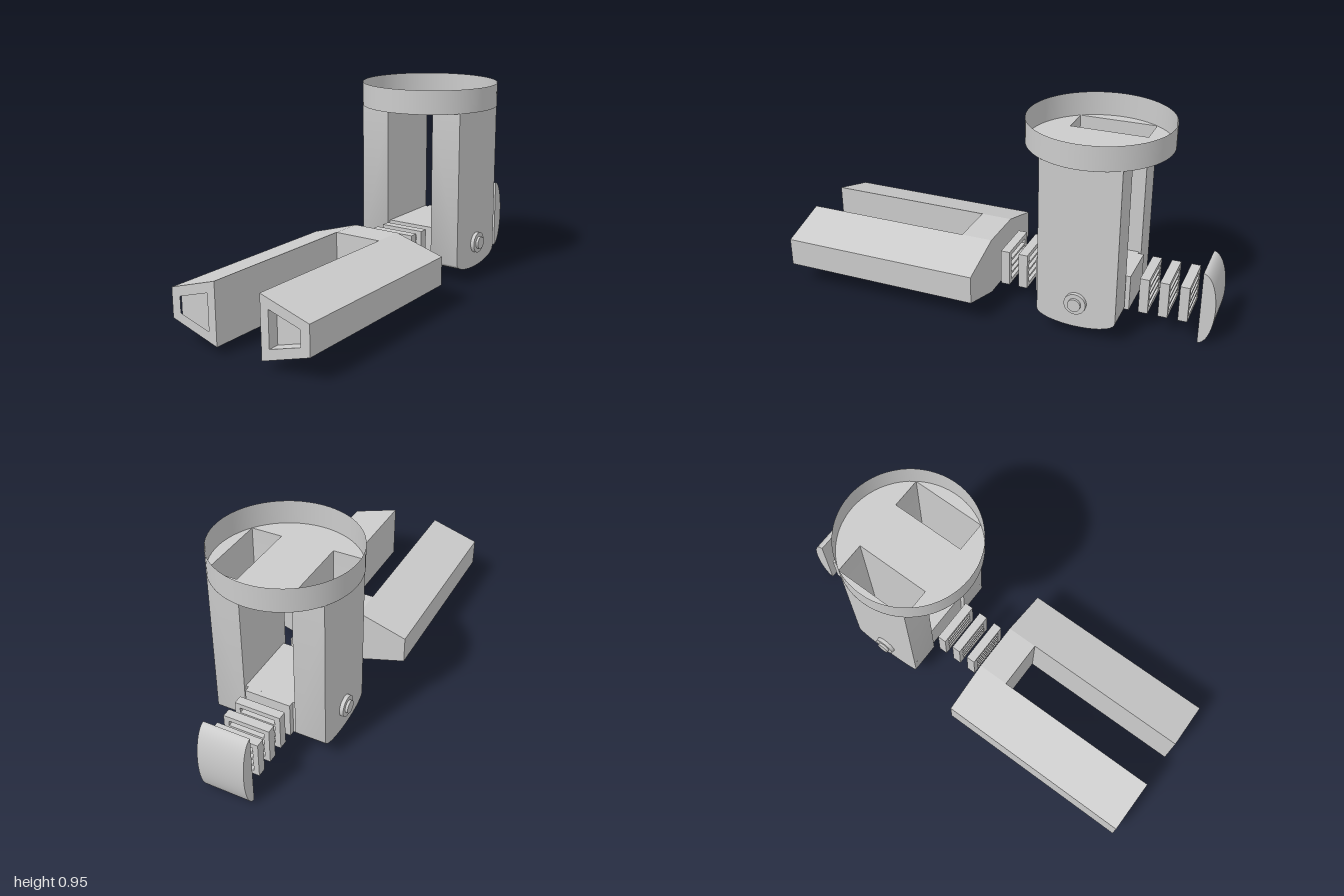
import * as THREE from 'three';
import { toCreasedNormals } from 'three/addons/utils/BufferGeometryUtils.js';

const CZ = -0.418;   // z of the cup axis
const CY = 0.178;    // height of the main axis
const grey = new THREE.MeshStandardMaterial({ color: 0xcccccc });
const shell = new THREE.MeshStandardMaterial({ color: 0xcccccc, side: THREE.DoubleSide });

const poly = (pts) => pts.map(([x, y]) => new THREE.Vector2(x, y));

// Prism along z from z0 to z1 with optional holes
function prism(outline, z0, z1, holes = []) {
  const shape = new THREE.Shape(poly(outline));
  holes.forEach((h) => shape.holes.push(new THREE.Path(poly(h))));
  const geo = new THREE.ExtrudeGeometry(shape, { depth: z1 - z0, bevelEnabled: false });
  return geo.translate(0, 0, z0);
}

function add(parent, name, geo, material = grey) {
  const mesh = new THREE.Mesh(geo, material);
  mesh.name = name;
  parent.add(mesh);
  return mesh;
}

const rect = (x0, y0, x1, y1) => [[x0, y0], [x1, y0], [x1, y1], [x0, y1]];

// Fork: tapered bridge with two prongs that have recessed ends
function createFork() {
  const fork = new THREE.Group();
  fork.name = 'fork';
  const bridge = [[-0.355, 0.11], [-0.117, 0.037], [0.117, 0.037], [0.355, 0.11],
    [0.355, 0.243], [0.117, 0.315], [-0.117, 0.315], [-0.355, 0.243]];
  add(fork, 'forkBridge', prism(bridge, 0.05, 0.2));
  for (const s of [1, -1]) {
    const side = s > 0 ? 'left' : 'right';
    const flip = (pts) => pts.map(([x, y]) => [x * s, y]);
    const section = flip([[0.117, 0.037], [0.355, 0.11], [0.355, 0.243], [0.117, 0.315]]);
    const recess = flip([[0.157, 0.095], [0.31, 0.14], [0.31, 0.212], [0.157, 0.258]]);
    add(fork, side + 'Prong', prism(section, 0.2, 0.95));
    add(fork, side + 'ProngRim', prism(section, 0.95, 1, [recess]));
  }
  return fork;
}

// Row of slotted plates on both sides of the central block
function createPlates() {
  const row = new THREE.Group();
  row.name = 'plates';
  const slots = [0, 1, 2, 3].map((i) => rect(-0.085, 0.113 + i * 0.035, 0.085, 0.138 + i * 0.035));
  for (const z of [0.005, -0.083, -0.17, -0.66, -0.75, -0.84]) {
    add(row, 'plate', prism(rect(-0.11, 0.093, 0.11, 0.265), z - 0.043, z, slots));
  }
  add(row, 'centralBlock', prism(rect(-0.124, 0.093, 0.124, 0.265), -0.59, -0.256));
  add(row, 'rearPlate', prism(rect(-0.11, 0.093, 0.11, 0.265), -0.617, -0.59));
  return row;
}

// Hollow leg, open at the top, with a rounded foot
function createLeg(s) {
  const leg = new THREE.Group();
  leg.name = s > 0 ? 'leftLeg' : 'rightLeg';
  const half = 0.182, top = 0.838, x0 = 0.125 * s, x1 = 0.272 * s;
  const profile = [[-half, top]];
  for (let i = 0; i <= 20; i++) {
    const a = Math.PI * (1 + i / 20);
    profile.push([Math.cos(a) * half, 0.11 + Math.sin(a) * 0.055]);
  }
  profile.push([half, top]);

  const verts = [], index = [];
  profile.forEach(([z, y], i) => {
    verts.push(x0, y, z + CZ, x1, y, z + CZ);
    if (i === 0) return;
    const b = 2 * i, a = b - 2;
    if (s > 0) index.push(a, b, a + 1, a + 1, b, b + 1);
    else index.push(a, a + 1, b, a + 1, b + 1, b);
  });
  // Wind the band so that its faces point outwards
  for (let i = 0; i < index.length; i += 3) {
    [index[i + 1], index[i + 2]] = [index[i + 2], index[i + 1]];
  }
  const band = new THREE.BufferGeometry();
  band.setAttribute('position', new THREE.Float32BufferAttribute(verts, 3));
  band.setIndex(index);
  band.computeVertexNormals();
  add(leg, 'legWall', toCreasedNormals(band, 0.7), shell);

  const cheek = new THREE.Shape(poly(profile));
  for (const [x, dir] of [[x0, -s], [x1, s]]) {
    const geo = new THREE.ShapeGeometry(cheek).rotateY(dir * Math.PI / 2).translate(x, 0, CZ);
    add(leg, 'legCheek', geo, shell);
  }

  // Pivot pin with a smaller raised head
  const pin = (r, a, b) => new THREE.CylinderGeometry(r, r, b - a, 32)
    .rotateZ(Math.PI / 2).translate(s * (a + b) / 2, CY, CZ);
  add(leg, 'pivotPin', pin(0.05, 0.125, 0.29));
  add(leg, 'pinHead', pin(0.03, 0.29, 0.302));
  return leg;
}

// Open cup: thin rim on a floor with an opening above each leg
function createCup() {
  const cup = new THREE.Group();
  cup.name = 'cup';
  const R = 0.327;
  const rim = new THREE.CylinderGeometry(R, R, 0.112, 64, 1, true).translate(0, 0.894, CZ);
  add(cup, 'cupRim', rim, shell);
  const floor = new THREE.Shape().absarc(0, 0, R, 0, Math.PI * 2);
  for (const s of [1, -1]) {
    floor.holes.push(new THREE.Path(poly(rect(0.125 * s, -0.181, 0.2715 * s, 0.181))));
  }
  const geo = new THREE.ShapeGeometry(floor, 64).rotateX(-Math.PI / 2).translate(0, 0.838, CZ);
  add(cup, 'cupFloor', geo, shell);
  return cup;
}

// Curved end cap at the back
function createEndCap() {
  const pts = [];
  for (let i = 0; i <= 32; i++) {
    const a = -Math.PI / 2 + Math.PI * i / 32;
    pts.push([Math.cos(a) * 0.066, Math.sin(a) * 0.175]);
  }
  const geo = toCreasedNormals(prism(pts, -0.11, 0.11), 0.6);
  return geo.rotateY(Math.PI / 2).translate(0, 0.176, -0.934);
}

export function createModel() {
  const model = new THREE.Group();
  model.name = 'model';
  model.add(createFork(), createPlates(), createLeg(1), createLeg(-1), createCup());
  add(model, 'endCap', createEndCap());
  return model;
}
